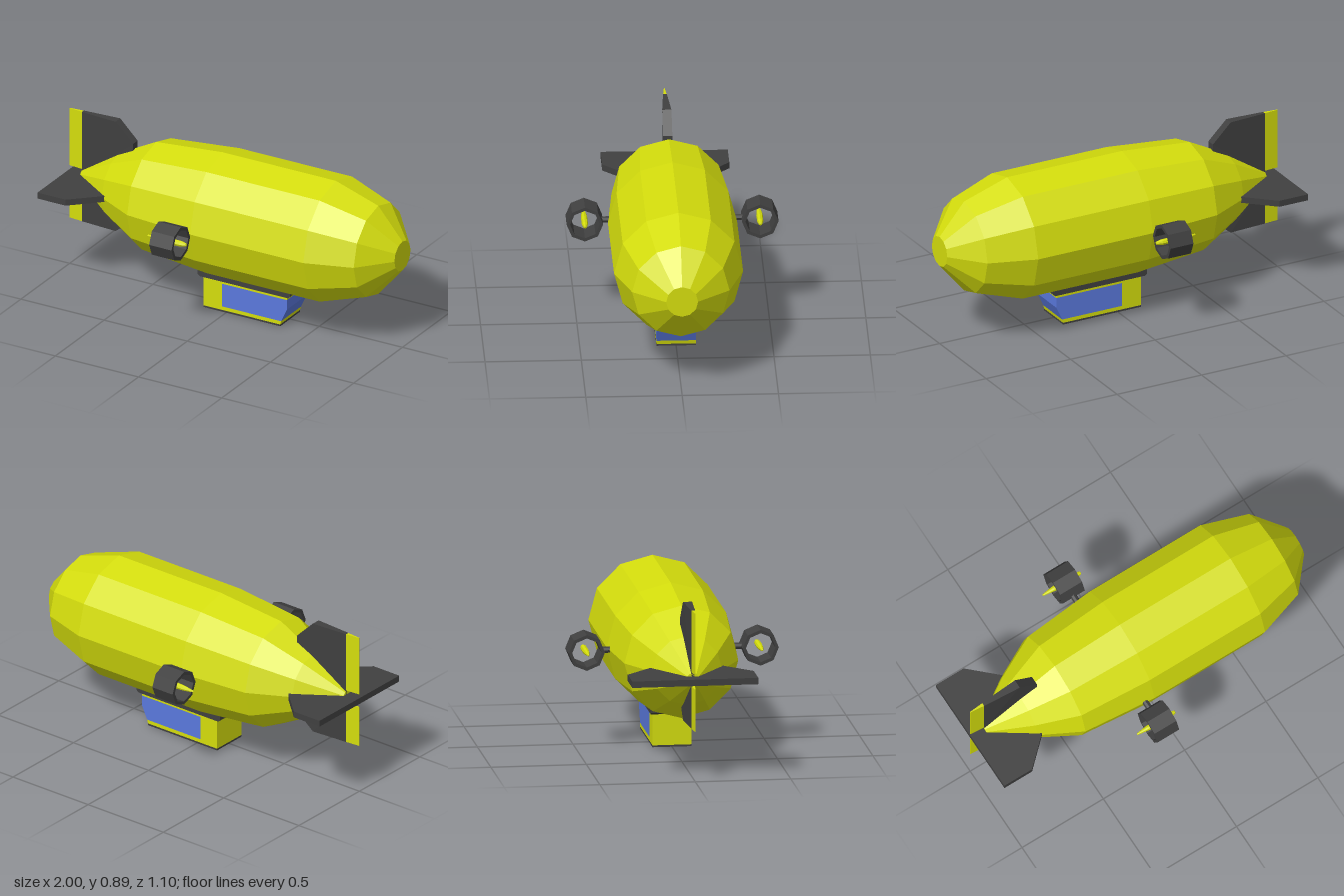
import * as THREE from 'three';

const mat = (color) => new THREE.MeshStandardMaterial({ color, flatShading: true });
const yellow = mat(0xd4dd0c), dark = mat(0x404040), blue = mat(0x5a78dc);
const AXIS_Y = 0.525;

function add(parent, name, geometry, material) {
  const mesh = new THREE.Mesh(geometry, material);
  mesh.name = name;
  parent.add(mesh);
  return mesh;
}

// Profile of [x, radius] pairs turned about the x axis
function turned(profile, sides) {
  const points = profile.map(([x, r]) => new THREE.Vector2(r, x));
  return new THREE.LatheGeometry(points, sides).rotateZ(-Math.PI / 2);
}

// Outline in the xy plane, thickened evenly about z = 0
function slab(outline, thickness) {
  const shape = new THREE.Shape(outline.map(([x, y]) => new THREE.Vector2(x, y)));
  return new THREE.ExtrudeGeometry(shape, { depth: thickness, bevelEnabled: false })
    .translate(0, 0, -thickness / 2);
}

// Narrows a slab toward the tail: half thickness h0 at x0 up to h1 at x1
function taper(geometry, x0, h0, x1, h1) {
  const p = geometry.attributes.position;
  for (let i = 0; i < p.count; i++) {
    const t = THREE.MathUtils.clamp((p.getX(i) - x0) / (x1 - x0), 0, 1);
    p.setZ(i, Math.sign(p.getZ(i)) * THREE.MathUtils.lerp(h0, h1, t));
  }
  geometry.computeVertexNormals();
  return geometry;
}

function createTail() {
  const tail = new THREE.Group();
  tail.name = 'tail';
  const upper = [[-0.92, 0.54], [-0.605, 0.54], [-0.605, 0.79], [-0.71, 0.893], [-0.92, 0.893]];
  const lower = [[-0.92, 0.51], [-0.92, 0.265], [-0.71, 0.265], [-0.605, 0.35], [-0.605, 0.51]];
  add(tail, 'upperFin', taper(slab(upper, 0.05), -0.92, 0.01, -0.71, 0.024), dark);
  add(tail, 'lowerFin', taper(slab(lower, 0.05), -0.92, 0.01, -0.71, 0.024), dark);

  // Thin rudders behind the vertical fins
  for (const [name, y0, y1] of [['upperRudder', 0.565, 0.893], ['lowerRudder', 0.265, 0.49]]) {
    const outline = [[-1, y0], [-0.92, y0], [-0.92, y1], [-1, y1]];
    add(tail, name, taper(slab(outline, 0.02), -1, 0.002, -0.92, 0.009), yellow);
  }

  // One flat plate makes both horizontal fins
  const plan = [
    [-1, -0.33], [-0.83, -0.33], [-0.68, -0.19], [-0.6, -0.11],
    [-0.6, 0.11], [-0.68, 0.19], [-0.83, 0.33], [-1, 0.33],
  ];
  add(tail, 'horizontalFins', slab(plan, 0.034).rotateX(Math.PI / 2), dark).position.y = AXIS_Y;
  return tail;
}

function createGondola() {
  const gondola = new THREE.Group();
  gondola.name = 'gondola';
  const width = 0.204;
  const part = (name, outline, material, w = width) => add(gondola, name, slab(outline, w), material);
  part('keel', [[-0.135, 0], [0.325, 0], [0.325, 0.01], [-0.135, 0.01]], dark);
  part('sill', [[-0.135, 0.01], [0.325, 0.01], [0.33, 0.03], [-0.135, 0.03]], yellow);
  part('rearCabin', [[-0.135, 0.03], [-0.025, 0.03], [-0.025, 0.16], [-0.135, 0.16]], yellow);
  part('windows', [[-0.025, 0.03], [0.33, 0.03], [0.365, 0.105], [0.365, 0.16], [-0.025, 0.16]], blue);
  part('roofTrim', [[-0.135, 0.16], [0.365, 0.16], [0.365, 0.18], [-0.135, 0.18]], yellow);
  // Mounting plate with chamfered lower edge
  part('mountingPlate',
    [[-0.152, 0.178], [0.378, 0.178], [0.39, 0.188], [0.39, 0.222], [-0.165, 0.222], [-0.165, 0.188]],
    dark, 0.228);
  return gondola;
}

function createEngine(side) {
  const engine = new THREE.Group();
  engine.name = side > 0 ? 'frontEngine' : 'backEngine';
  engine.position.set(0, AXIS_Y, side * 0.455);
  const duct = [[-0.2, 0.077], [-0.2, 0.095], [-0.065, 0.095], [-0.065, 0.077], [-0.2, 0.077]];
  add(engine, 'duct', turned(duct, 8), dark);
  const spinner = [[-0.265, 0], [-0.262, 0.005], [-0.2, 0.014], [-0.15, 0.017],
    [-0.065, 0.016], [-0.033, 0.009], [-0.03, 0]];
  add(engine, 'spinner', turned(spinner, 8), yellow);
  // Strut from the hull to the duct
  const strut = new THREE.CylinderGeometry(0.017, 0.017, 0.1, 8).rotateX(Math.PI / 2);
  add(engine, 'strut', strut, dark).position.set(-0.132, 0, -side * 0.135);
  return engine;
}

export function createModel() {
  const airship = new THREE.Group();
  airship.name = 'airship';
  const hull = [[-0.92, 0], [-0.92, 0.035], [-0.7, 0.183], [-0.48, 0.298], [-0.08, 0.335],
    [0.6, 0.335], [0.855, 0.253], [1, 0.083], [1, 0]];
  add(airship, 'hull', turned(hull, 12), yellow).position.y = AXIS_Y;
  airship.add(createTail(), createGondola(), createEngine(1), createEngine(-1));
  return airship;
}
